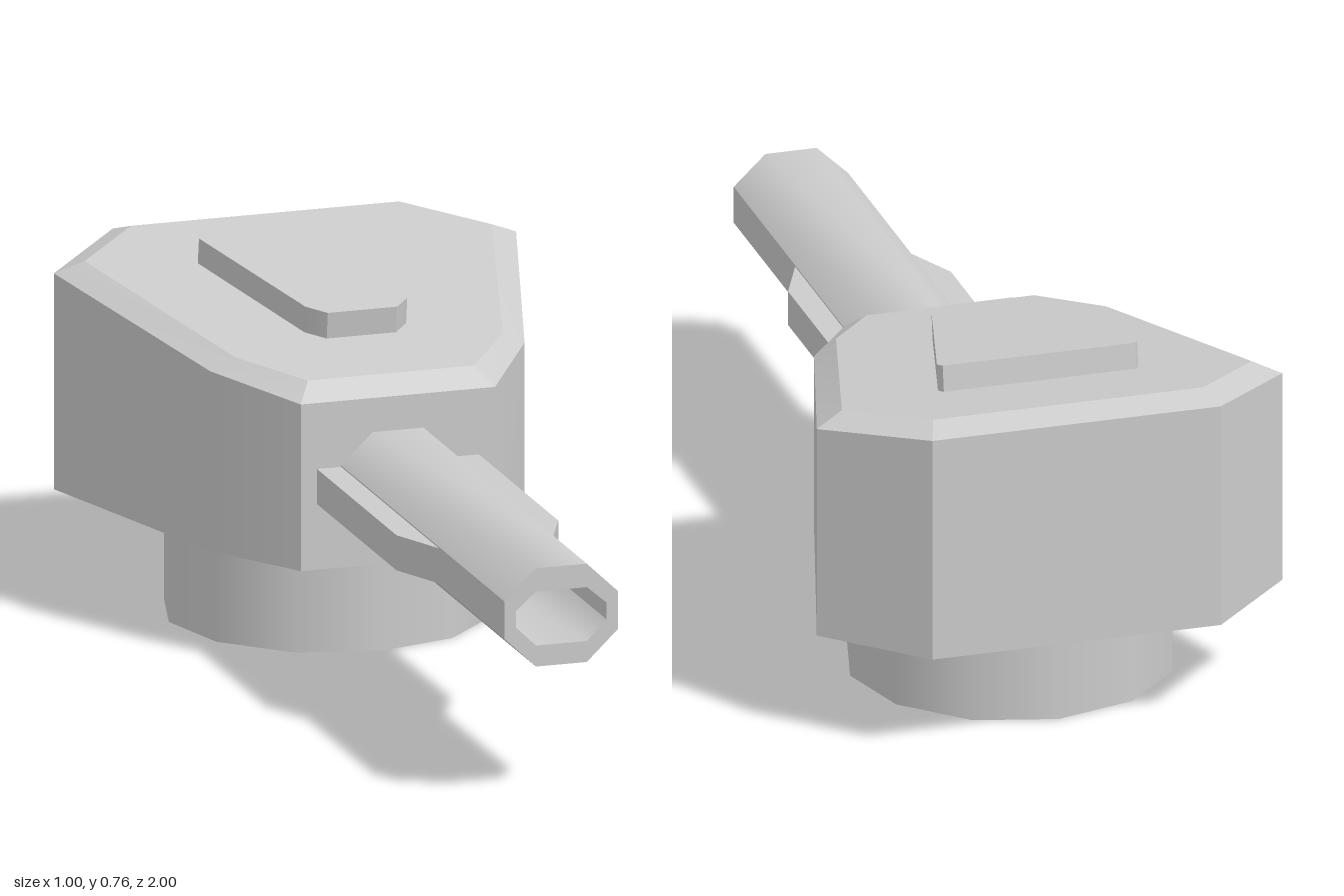
import * as THREE from 'three';
import { toCreasedNormals } from 'three/addons/utils/BufferGeometryUtils.js';

const material = new THREE.MeshStandardMaterial({ color: 0xcccccc });
const shellMaterial = new THREE.MeshStandardMaterial({ color: 0xcccccc, side: THREE.DoubleSide });

// Mirror a half outline of [x, z] points (front to back on +x) into a closed loop
const mirror = half => [...half, ...half.map(([x, z]) => [-x, z]).reverse()];

// Give each [x, z] point a height: a number or a rule of z
const lift = (loop, height) => loop.map(([x, z]) =>
  new THREE.Vector3(x, typeof height === 'number' ? height : height(z), z));

// Closed solid from convex rings of equal length, stacked bottom to top
function loft(rings, crease) {
  const n = rings[0].length, pos = [];
  const tri = (a, b, c) => [a, b, c].forEach(p => pos.push(p.x, p.y, p.z));
  for (let r = 0; r < rings.length - 1; r++) {
    const lo = rings[r], up = rings[r + 1];
    for (let i = 0; i < n; i++) {
      const j = (i + 1) % n;
      tri(lo[i], lo[j], up[j]);
      tri(lo[i], up[j], up[i]);
    }
  }
  const bottom = rings[0], top = rings[rings.length - 1];
  for (let i = 1; i < n - 1; i++) {
    tri(bottom[0], bottom[i + 1], bottom[i]);
    tri(top[0], top[i], top[i + 1]);
  }
  const g = new THREE.BufferGeometry();
  g.setAttribute('position', new THREE.Float32BufferAttribute(pos, 3));
  return toCreasedNormals(g, crease);
}

// Closed outline in x, y from its right half (bottom to top)
const outline = half => mirror(half).map(([x, y]) => new THREE.Vector2(x, y));

export function createModel() {
  const group = new THREE.Group();
  const add = (name, geometry, mat = material) => {
    const mesh = new THREE.Mesh(geometry, mat);
    mesh.name = name;
    group.add(mesh);
    return mesh;
  };

  // Turret housing with a sloping, bevelled roof
  const wall = mirror([[0.21, -0.07], [0.34, -0.27], [0.5, -0.81], [0.31, -1]]);
  const roof = mirror([[0.18, -0.115], [0.29, -0.26], [0.44, -0.79], [0.29, -0.94]]);
  add('housing', loft([
    lift(wall, 0.222),
    lift(wall, z => 0.568 - 0.142 * z),
    lift(roof, z => 0.598 - 0.141 * z),
  ], 0.35));

  // Raised hatch plate following the roof slope
  const hatch = mirror([[0.075, -0.31], [0.11, -0.35], [0.215, -0.73], [0.207, -0.745]]);
  add('hatch', loft([
    lift(hatch, z => 0.596 - 0.141 * z),
    lift(hatch.map(([x, z]) => [x, z + 0.008]), z => 0.657 - 0.137 * z),
  ], 0.5));

  // Open twelve-sided base ring
  const base = add('baseRing',
    new THREE.CylinderGeometry(0.343, 0.343, 0.222, 12, 1, true), shellMaterial);
  base.position.set(0, 0.111, -0.532);

  // Hollow eight-sided barrel
  const tube = new THREE.Shape(outline([[0.055, 0.295], [0.123, 0.36], [0.123, 0.44], [0.055, 0.505]]));
  tube.holes.push(new THREE.Path(outline([[0.055, 0.34], [0.098, 0.382], [0.098, 0.418], [0.055, 0.455]])));
  const barrel = add('barrel', toCreasedNormals(
    new THREE.ExtrudeGeometry(tube, { depth: 1.07, bevelEnabled: false }), 0.78));
  barrel.position.z = -0.07;

  // Tapered side rails along the barrel
  const rail = [[0.1, 0.57], [0.123, 0.57], [0.175, 0.45], [0.175, -0.07], [0.1, -0.07]];
  const rails = { leftRail: rail, rightRail: rail.map(([x, z]) => [-x, z]).reverse() };
  for (const [name, loop] of Object.entries(rails)) {
    add(name, loft([lift(loop, 0.362), lift(loop, 0.437)], 0.5));
  }

  return group;
}
